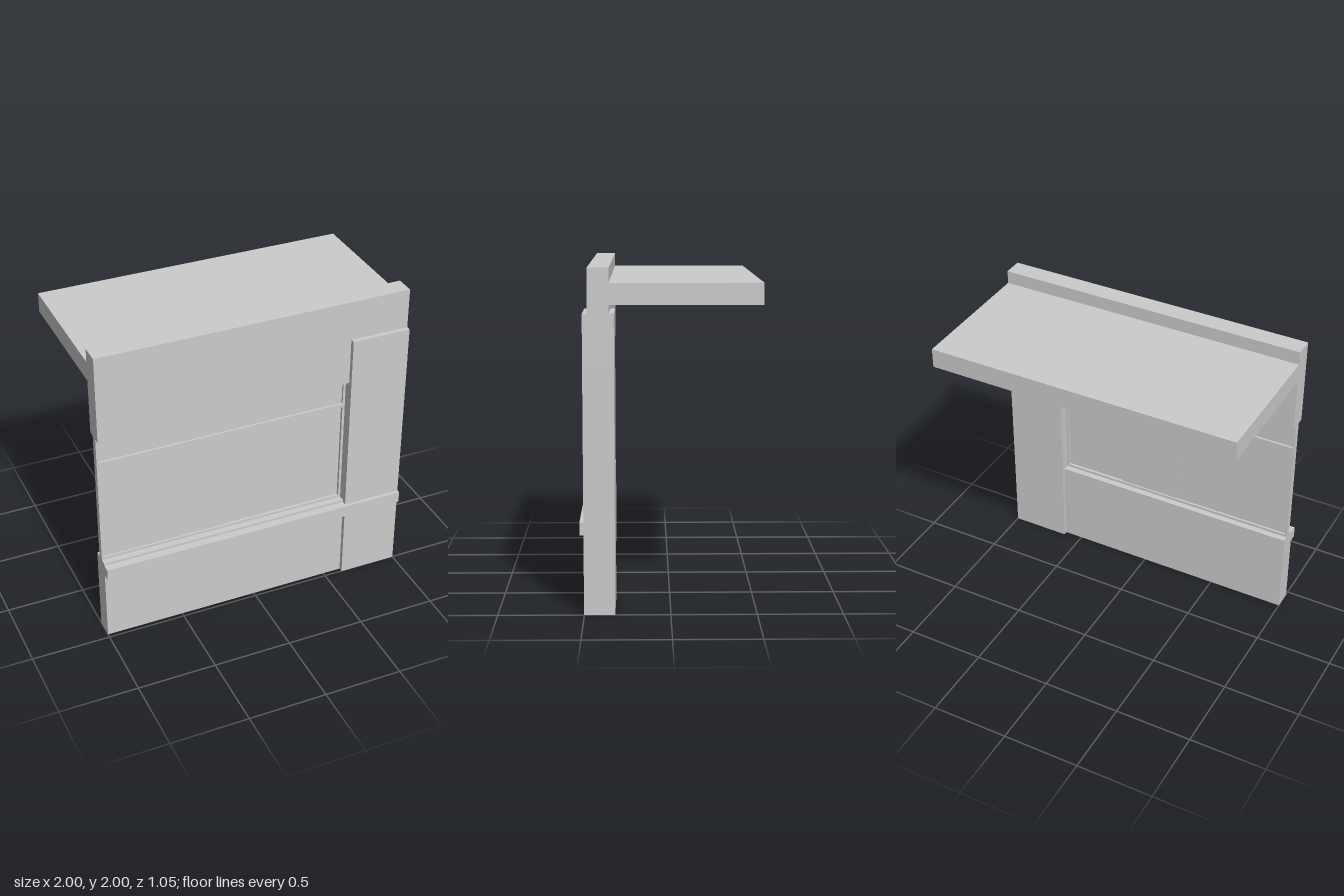
import * as THREE from 'three';

const material = new THREE.MeshStandardMaterial({ color: 0xcccccc });

// Adds a box spanning the given [min, max] ranges.
function addBox(parent, name, [x0, x1], [y0, y1], [z0, z1]) {
  const mesh = new THREE.Mesh(new THREE.BoxGeometry(x1 - x0, y1 - y0, z1 - z0), material);
  mesh.position.set((x0 + x1) / 2, (y0 + y1) / 2, (z0 + z1) / 2);
  mesh.name = name;
  parent.add(mesh);
}

export function createModel() {
  const model = new THREE.Group();
  model.name = 'facadeSection';

  // Masonry: wall below and above the opening, with a pillar on one side
  const wallZ = [0.35, 0.473];
  addBox(model, 'lowerWall', [-1, 0.62], [0, 0.56], wallZ);
  addBox(model, 'upperWall', [-1, 1], [1.44, 2], wallZ);
  addBox(model, 'pillar', [0.62, 1], [0, 1.742], [0.322, 0.502]);
  addBox(model, 'ledge', [-1, 1], [0.47, 0.545], [0.46, 0.525]);
  addBox(model, 'floorSlab', [-1, 1], [1.79, 1.915], [-0.525, 0.36]);

  // Window frame filling the opening
  const windowGroup = new THREE.Group();
  windowGroup.name = 'window';
  model.add(windowGroup);
  const frameZ = [0.39, 0.432];
  addBox(windowGroup, 'frameBottom', [-1, 0.62], [0.56, 0.577], frameZ);
  addBox(windowGroup, 'frameTop', [-1, 0.62], [1.424, 1.44], frameZ);
  addBox(windowGroup, 'frameSideRight', [-1, -0.988], [0.577, 1.424], frameZ);
  addBox(windowGroup, 'frameSideLeft', [0.604, 0.62], [0.577, 1.424], frameZ);
  addBox(windowGroup, 'transom', [-0.988, 0.604], [1.243, 1.27], frameZ);

  // Panes: a fixed top light and sliding panels at stepped depths
  addBox(windowGroup, 'topPane', [-0.988, 0.604], [1.27, 1.424], [0.404, 0.418]);
  const paneY = [0.577, 1.243];
  addBox(windowGroup, 'fixedPane', [-0.988, -0.19], paneY, [0.404, 0.42]);
  addBox(windowGroup, 'slidingPane', [-0.19, 0.604], paneY, [0.408, 0.414]);
  addBox(windowGroup, 'innerPane', [-0.2, 0.2], paneY, [0.4, 0.408]);

  return model;
}
